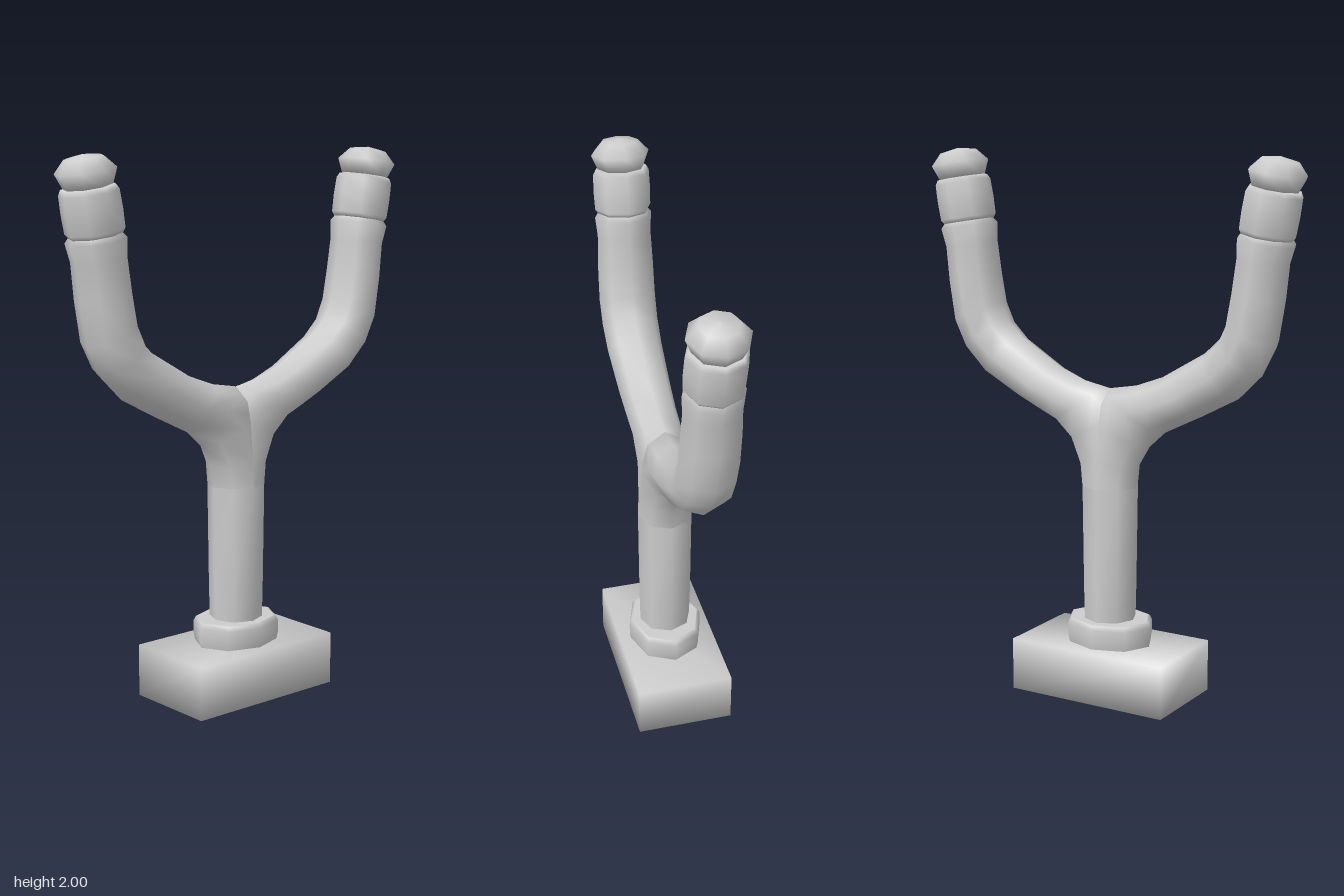
import * as THREE from 'three';
import { mergeVertices } from 'three/addons/utils/BufferGeometryUtils.js';

const SIDES = 8;

// Skin of eight-sided rings. Station: [outer x, outer y, inner x, inner y, half depth]
function loft(stations, side = 1) {
  const pos = [], index = [];
  for (const [ox, oy, ix, iy, depth] of stations) {
    for (let i = 0; i < SIDES; i++) {
      const a = (i / SIDES) * Math.PI * 2, c = Math.cos(a);
      pos.push(
        side * ((ox + ix) / 2 + ((ox - ix) / 2) * c),
        (oy + iy) / 2 + ((oy - iy) / 2) * c,
        depth * Math.sin(a)
      );
    }
  }
  for (let r = 0; r < stations.length - 1; r++) {
    for (let i = 0; i < SIDES; i++) {
      const a = r * SIDES + i, b = r * SIDES + ((i + 1) % SIDES);
      const c = a + SIDES, d = b + SIDES;
      if (side > 0) index.push(a, c, b, b, c, d);
      else index.push(a, b, c, b, d, c);
    }
  }
  const geo = new THREE.BufferGeometry();
  geo.setAttribute('position', new THREE.Float32BufferAttribute(pos, 3));
  geo.setIndex(index);
  geo.computeVertexNormals();
  return geo;
}

const turned = (profile) =>
  new THREE.LatheGeometry(profile.map(([r, y]) => new THREE.Vector2(r, y)), SIDES);

export function createModel() {
  const model = new THREE.Group();
  model.name = 'slingshot';
  const grey = new THREE.MeshStandardMaterial({ color: 0xcccccc });
  grey.name = 'plain grey';
  grey.side = THREE.DoubleSide;

  const add = (name, geo, parent = model) => {
    const mesh = new THREE.Mesh(geo, grey);
    mesh.name = name;
    parent.add(mesh);
    return mesh;
  };

  // Base block, with normals shared across its corners
  let block = new THREE.BoxGeometry(0.635, 0.195, 0.36);
  block.deleteAttribute('normal');
  block.deleteAttribute('uv');
  block = mergeVertices(block);
  block.computeVertexNormals();
  add('base', block).position.y = 0.0975;

  // Collar where the stem meets the base
  const collar = add('collar', turned([
    [0.165, 0.19], [0.172, 0.22], [0.172, 0.268], [0.162, 0.285], [0.155, 0.287], [0, 0.287],
  ]));
  collar.scale.z = 0.82;

  // Stem
  add('stem', loft([
    [0.097, 0.27, -0.097, 0.27, 0.097],
    [0.1, 0.4, -0.1, 0.4, 0.1],
    [0.106, 0.79, -0.106, 0.79, 0.103],
  ]));

  // Fork arms, merging into one another above the stem
  const armStations = [
    [0.106, 0.79, -0.106, 0.79, 0.103],
    [0.118, 0.87, -0.108, 0.9, 0.099],
    [0.165, 0.95, -0.1, 1.07, 0.094],
    [0.23, 1.01, 0.0, 1.15, 0.092],
    [0.3, 1.045, 0.11, 1.17, 0.094],
    [0.38, 1.085, 0.217, 1.21, 0.098],
    [0.52, 1.16, 0.386, 1.31, 0.104],
    [0.61, 1.25, 0.444, 1.365, 0.106],
    [0.66, 1.35, 0.476, 1.434, 0.107],
    [0.685, 1.5, 0.495, 1.54, 0.105],
    [0.7, 1.63, 0.51, 1.656, 0.1],
    [0.722, 1.695, 0.51, 1.728, 0.106],
    [0.71, 1.712, 0.525, 1.742, 0.094],
    [0.7, 1.8, 0.56, 1.82, 0.075],
  ];
  // Rounded band and faceted knob for each arm tip
  const band = turned([
    [0, 0], [0.094, 0], [0.104, 0.015], [0.106, 0.08], [0.104, 0.145], [0.094, 0.163], [0, 0.163],
  ]);
  const knob = turned([
    [0, -0.02], [0.086, 0], [0.107, 0.052], [0.068, 0.095], [0, 0.107],
  ]);

  for (const side of [1, -1]) {
    const label = side > 0 ? 'left' : 'right';
    add(label + 'Arm', loft(armStations, side));
    const tip = new THREE.Group();
    tip.name = label + 'Tip';
    tip.position.set(side * 0.617, 1.728, 0);
    tip.rotation.z = -side * 0.17;
    add(label + 'Band', band, tip);
    add(label + 'Knob', knob, tip).position.y = 0.165;
    model.add(tip);
  }
  return model;
}
